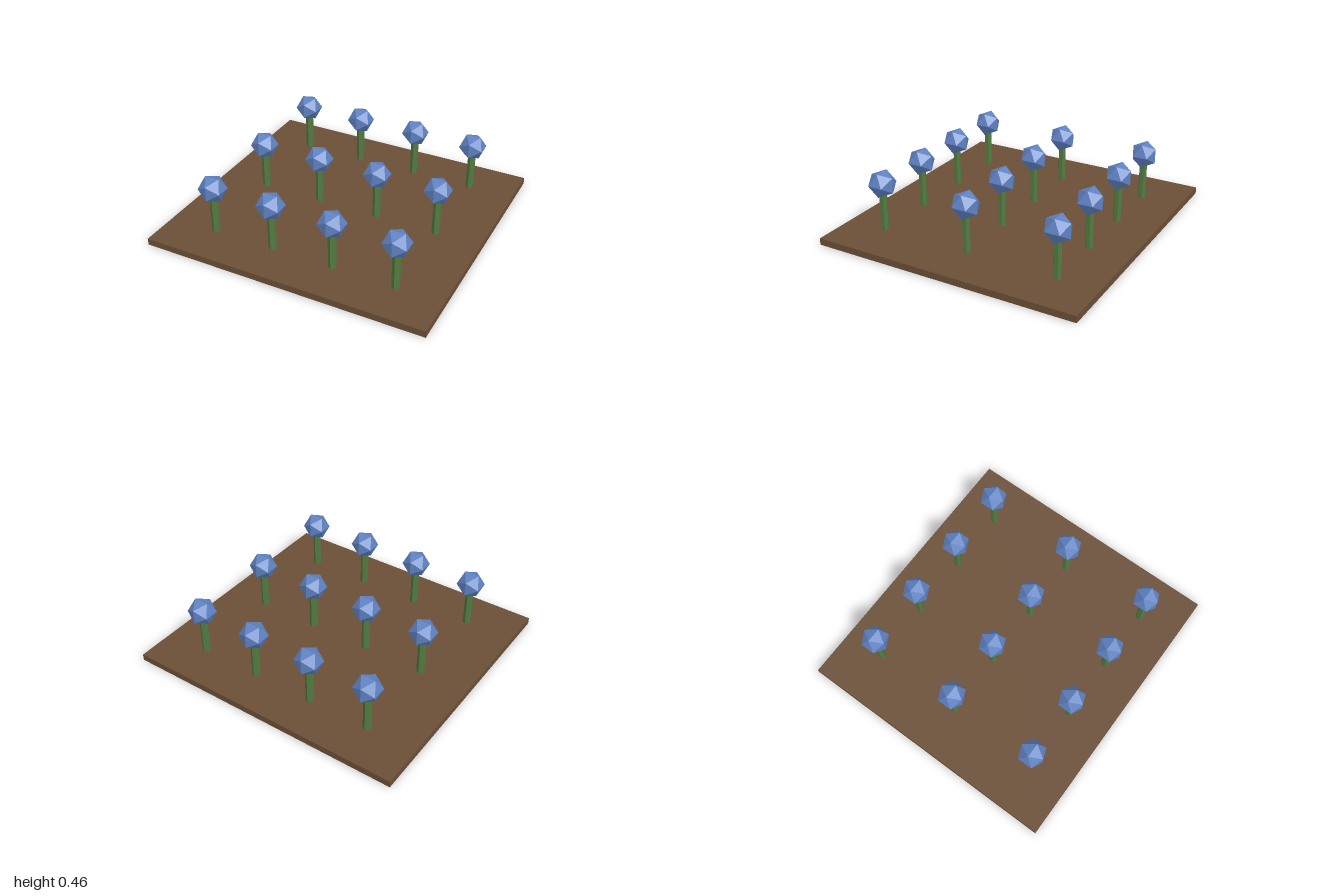
import * as THREE from 'three';

const material = (name, color) => Object.assign(new THREE.MeshStandardMaterial({ color, flatShading: true }), { name });

export function createModel() {
  const soil = material('soil brown', 0x6b4f37);
  const green = material('stem green', 0x527c40);
  const blue = material('flower blue', 0x5f82c2);

  const model = new THREE.Group();
  model.name = 'flowerBed';

  const add = (parent, name, geometry, mat, y) => {
    const mesh = new THREE.Mesh(geometry, mat);
    mesh.name = name;
    mesh.position.y = y;
    parent.add(mesh);
  };

  // Thin slab of soil
  const top = 0.047;
  add(model, 'soilBed', new THREE.BoxGeometry(2, top, 1.88), soil, top / 2);

  // Shared flower parts: six-sided stem and faceted head
  const headY = 0.38;
  const stemHeight = 0.29;
  const stemShape = new THREE.CylinderGeometry(0.0275, 0.0275, stemHeight, 6);
  const headShape = new THREE.IcosahedronGeometry(0.098, 0);

  // Three rows of four flowers, set slightly towards +x
  for (let row = 0; row < 3; row++) {
    for (let col = 0; col < 4; col++) {
      const flower = new THREE.Group();
      flower.name = `flower${row * 4 + col + 1}`;
      flower.position.set(-0.647 + col * 0.441, 0, (row - 1) * 0.649);
      add(flower, 'stem', stemShape, green, top + stemHeight / 2);
      add(flower, 'flowerHead', headShape, blue, headY);
      model.add(flower);
    }
  }
  return model;
}
